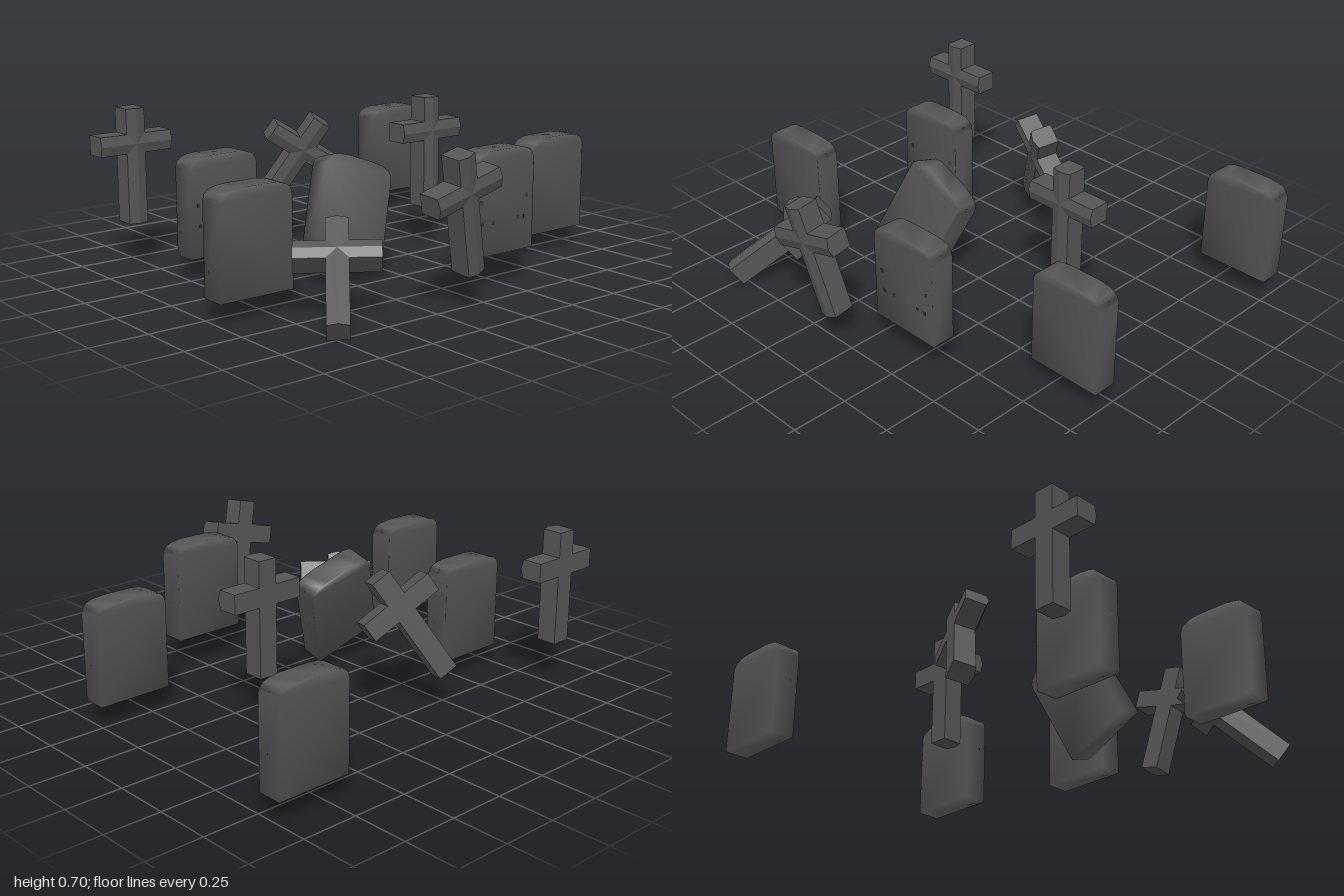
import * as THREE from 'three';
import { mergeVertices } from 'three/addons/utils/BufferGeometryUtils.js';

const stone = new THREE.MeshStandardMaterial({ color: 0x555555 });
stone.name = 'stoneGrey';
const dark = new THREE.MeshStandardMaterial({ color: 0x333333 });
dark.name = 'chipGrey';

// Prism running along z, centred, from an outline in x and y
function prism(points, length) {
  const shape = new THREE.Shape(points.map(([x, y]) => new THREE.Vector2(x, y)));
  return new THREE.ExtrudeGeometry(shape, { depth: length, bevelEnabled: false })
    .translate(0, 0, -length / 2);
}

// Headstone slab: rounded shoulders, soft shading over every edge
function slabGeometry() {
  const half = [[0.17, -0.22], [0.17, 0.165], [0.163, 0.188], [0.145, 0.205], [0.115, 0.215], [0.07, 0.22]];
  const outline = [...half, ...half.map(([z, y]) => [-z, y]).reverse()];
  let g = prism(outline, 0.11).rotateY(Math.PI / 2);
  g.deleteAttribute('normal');
  g.deleteAttribute('uv');
  g = mergeVertices(g, 1e-4);
  g.computeVertexNormals();
  return g;
}

// Bar with a flat back and a shallow ridge along its face
const bar = (width, length) => prism(
  [[-0.053, -width / 2], [0.041, -width / 2], [0.053, 0], [0.041, width / 2], [-0.053, width / 2]], length);

// Turns a group so its height follows up and its width follows side
function orient(group, up, side) {
  const y = new THREE.Vector3(...up).normalize();
  const x = y.clone().cross(new THREE.Vector3(...side)).normalize();
  const z = x.clone().cross(y);
  group.quaternion.setFromRotationMatrix(new THREE.Matrix4().makeBasis(x, y, z));
}

export function createModel() {
  const model = new THREE.Group();
  model.name = 'graveyard';
  const slab = slabGeometry();
  const post = bar(0.09, 0.51).rotateX(-Math.PI / 2);
  const arms = bar(0.086, 0.345).translate(0, 0.1, 0);
  const chip = new THREE.BoxGeometry(0.004, 0.016, 0.012);
  const upright = [[0, 1, 0], [0, 0, 1]];

  const add = (parent, name, geometry, material) => {
    const mesh = new THREE.Mesh(geometry, material);
    mesh.name = name;
    parent.add(mesh);
    return mesh;
  };
  const place = (name, position, [up, side]) => {
    const group = new THREE.Group();
    group.name = name;
    group.position.set(...position);
    orient(group, up, side);
    model.add(group);
    return group;
  };

  // Headstones: centre, axes, weathered or not
  const headstones = [
    [[-0.815, 0.32, -0.83], upright],
    [[0.305, 0.32, -0.83], upright],
    [[0.585, 0.375, -0.215], upright, true],
    [[-0.305, 0.32, 0.575], upright, true],
    [[0.305, 0.32, 0.83], upright],
    [[0.125, 0.305, 0.2], [[-0.26, 0.9, -0.36], [-0.1, 0.35, 0.93]]],
  ];
  for (const [position, axes, weathered] of headstones) {
    const group = place('headstone', position, axes);
    add(group, 'slab', slab, stone);
    if (!weathered) continue;
    // Small chips in the face
    for (const [y, z] of [[0.01, 0.13], [0.01, -0.13], [-0.08, 0.12], [-0.08, 0.06], [-0.08, -0.08], [-0.08, -0.12]]) {
      add(group, 'chip', chip, dark).position.set(0.0545, y, z);
    }
  }

  // Crosses: centre of the post and axes
  const crosses = [
    [[-0.655, 0.455, 0.785], upright],
    [[-0.09, 0.455, -0.43], upright],
    [[0.783, 0.405, 0.145], [[0.117, 0.966, 0.235], [0.03, -0.24, 0.97]]],
    [[-0.465, 0.395, 0.075], [[0.37, 0.82, -0.43], [-0.25, 0.55, 0.8]]],
    [[0.617, 0.205, 0.64], [[-0.64, 0.6, -0.49], [-0.62, -0.01, 0.78]]],
  ];
  for (const [position, axes] of crosses) {
    const group = place('cross', position, axes);
    add(group, 'post', post, stone);
    add(group, 'arms', arms, stone);
  }
  return model;
}
